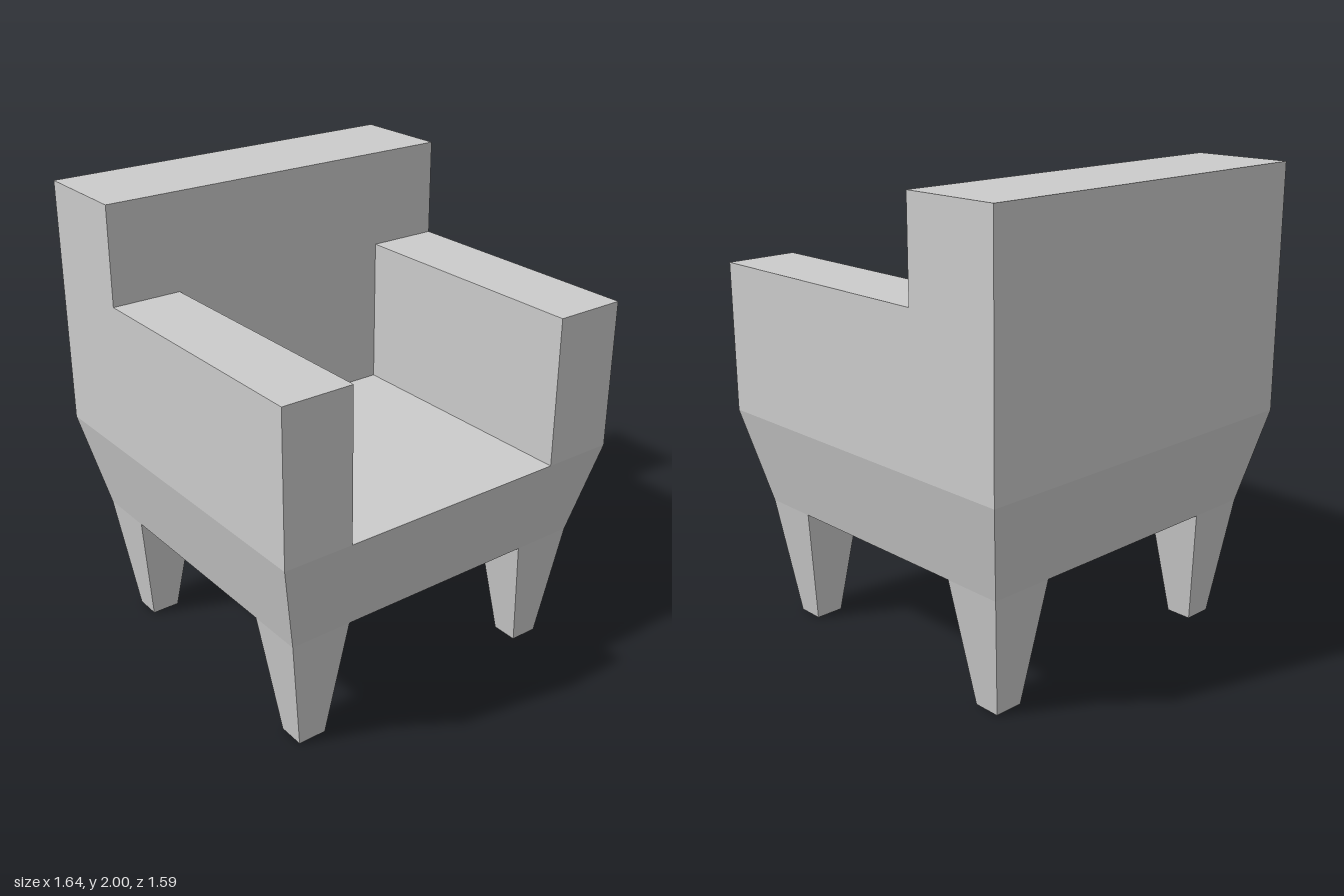
import * as THREE from 'three';

const material = new THREE.MeshStandardMaterial({ color: 0xcccccc, flatShading: true });

// Block between two horizontal rectangles [x0, x1, z0, z1] at heights y0 and y1
function block(name, y0, bottom, y1, top = bottom) {
  const geometry = new THREE.BoxGeometry(1, 1, 1);
  const p = geometry.attributes.position;
  for (let i = 0; i < p.count; i++) {
    const upper = p.getY(i) > 0;
    const r = upper ? top : bottom;
    p.setXYZ(i, r[p.getX(i) > 0 ? 1 : 0], upper ? y1 : y0, r[p.getZ(i) > 0 ? 3 : 2]);
  }
  geometry.computeVertexNormals();
  const mesh = new THREE.Mesh(geometry, material);
  mesh.name = name;
  return mesh;
}

export function createModel() {
  const armchair = new THREE.Group();
  armchair.name = 'armchair';

  const W = 0.818, D = 0.793;        // half width and half depth
  const legTop = 0.53, seatTop = 0.945, armTop = 1.585;
  const backFront = -0.357;

  // Tapered seat base, backrest and two armrests
  armchair.add(
    block('seatBase', legTop, [-0.725, 0.722, -0.698, 0.702], seatTop, [-W, W, -D, D]),
    block('backrest', seatTop, [-W, W, -D, backFront], 2),
    block('rightArmrest', seatTop, [-W, -0.516, backFront, D], armTop),
    block('leftArmrest', seatTop, [0.503, W, backFront, D], armTop),
  );

  // Four tapered legs: spans at the foot and at the seat base
  const xSpans = {
    Right: { foot: [-0.655, -0.53], top: [-0.725, -0.457] },
    Left: { foot: [0.522, 0.647], top: [0.446, 0.722] },
  };
  const zSpans = {
    front: { foot: [0.522, 0.638], top: [0.456, 0.702] },
    back: { foot: [-0.626, -0.51], top: [-0.698, -0.438] },
  };
  for (const [depth, z] of Object.entries(zSpans)) {
    for (const [side, x] of Object.entries(xSpans)) {
      armchair.add(block(`${depth}${side}Leg`, 0, [...x.foot, ...z.foot], legTop, [...x.top, ...z.top]));
    }
  }
  return armchair;
}
